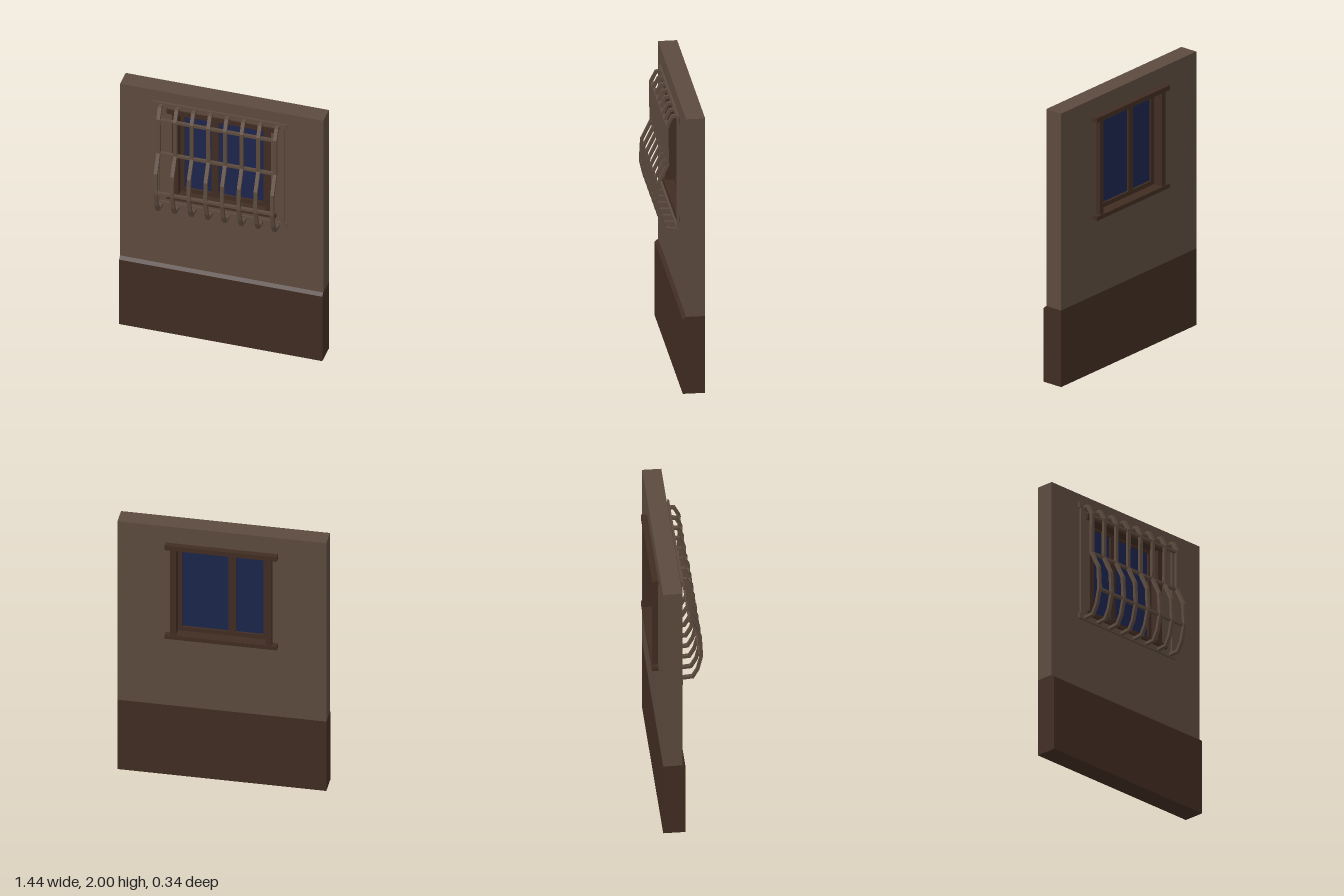
import * as THREE from 'three';

const mat = (color) => new THREE.MeshStandardMaterial({ color, flatShading: true });

export function createModel() {
  const model = new THREE.Group();
  const plaster = mat(0x5c4a3e), dark = mat(0x402c22), glass = mat(0x1c254c);

  const add = (parent, name, geometry, material) => {
    const mesh = new THREE.Mesh(geometry, material);
    mesh.name = name;
    parent.add(mesh);
    return mesh;
  };
  // Box given by its two extremes on each axis
  const box = (parent, name, material, [x0, x1], [y0, y1], [z0, z1]) =>
    add(parent, name, new THREE.BoxGeometry(x1 - x0, y1 - y0, z1 - z0), material)
      .position.set((x0 + x1) / 2, (y0 + y1) / 2, (z0 + z1) / 2);
  const group = (name) => {
    const g = new THREE.Group();
    g.name = name;
    model.add(g);
    return g;
  };
  // Side profile in (z, y), extruded along x and centred on x = 0
  const extrudeX = (points, width) =>
    new THREE.ExtrudeGeometry(new THREE.Shape(points), { depth: width, bevelEnabled: false })
      .rotateY(-Math.PI / 2).translate(width / 2, 0, 0);
  const vecs = (list) => list.map(([a, b]) => new THREE.Vector2(a, b));

  // Wall with window opening
  const wallShape = new THREE.Shape(vecs([[-0.72, 0.56], [0.72, 0.56], [0.72, 2], [-0.72, 2]]));
  wallShape.holes.push(new THREE.Path(vecs([[-0.34, 1.13], [-0.34, 1.86], [0.34, 1.86], [0.34, 1.13]])));
  add(model, 'wall', new THREE.ExtrudeGeometry(wallShape, { depth: 0.13, bevelEnabled: false })
    .translate(0, 0, -0.13), plaster);

  // Plinth with chamfered top edge
  add(model, 'plinth', extrudeX(vecs([[-0.13, 0], [0.023, 0], [0.023, 0.54], [0, 0.56], [-0.13, 0.56]]), 1.44), dark);

  // Window: casing, sash, mullion and pane
  const win = group('window');
  box(win, 'lintel', dark, [-0.387, 0.387], [1.835, 1.87], [-0.172, 0.018]);
  box(win, 'sill', dark, [-0.387, 0.387], [1.12, 1.15], [-0.172, 0.018]);
  for (const s of [-1, 1]) {
    const span = (a, b) => (s > 0 ? [a, b] : [-b, -a]);
    box(win, 'jamb', dark, span(0.31, 0.35), [1.15, 1.835], [-0.165, 0.003]);
    box(win, 'sashStile', dark, span(0.28, 0.31), [1.15, 1.835], [-0.095, -0.055]);
  }
  box(win, 'sashTopRail', dark, [-0.28, 0.28], [1.82, 1.835], [-0.095, -0.055]);
  box(win, 'sashBottomRail', dark, [-0.28, 0.28], [1.15, 1.182], [-0.095, -0.055]);
  box(win, 'mullion', dark, [-0.09, -0.04], [1.182, 1.82], [-0.095, -0.055]);
  box(win, 'pane', glass, [-0.28, 0.28], [1.182, 1.82], [-0.08, -0.07]);

  // Flat mounting frame of the grille
  const grille = group('grille');
  const flat = [0.014, 0.028];
  box(grille, 'frameTop', plaster, [-0.48, 0.467], [1.885, 1.925], flat);
  box(grille, 'frameBottom', plaster, [-0.48, 0.467], [1.06, 1.1], flat);
  box(grille, 'frameSide', plaster, [-0.466, -0.437], [1.1, 1.885], flat);
  box(grille, 'frameSide', plaster, [0.424, 0.453], [1.1, 1.885], flat);

  // Bulging bars: a centre line thickened with mitred corners
  const line = vecs([[0.02, 1.905], [0.055, 1.9], [0.09, 1.83], [0.088, 1.545], [0.152, 1.415],
    [0.16, 1.255], [0.134, 1.145], [0.1, 1.084], [0.02, 1.077]]);
  const half = 0.01, outer = [], inner = [];
  line.forEach((p, i) => {
    const a = p.clone().sub(line[Math.max(i - 1, 0)]).normalize();
    const b = line[Math.min(i + 1, line.length - 1)].clone().sub(p).normalize();
    const dir = a.clone().add(b).normalize();
    const ref = i === 0 ? b : a;
    const normal = new THREE.Vector2(-dir.y, dir.x).multiplyScalar(half / dir.dot(ref));
    outer.push(p.clone().add(normal));
    inner.unshift(p.clone().sub(normal));
  });
  const barGeometry = extrudeX([...outer, ...inner], 0.026);
  for (let i = 0; i < 8; i++) {
    add(grille, 'verticalBar', barGeometry, plaster).position.x = -0.42 + i * 0.118;
  }

  // Horizontal rails tying the bars together
  for (const [y, z] of [[1.823, 0.084], [1.545, 0.084], [1.257, 0.152]]) {
    box(grille, 'crossRail', plaster, [-0.42, 0.406], [y - 0.009, y + 0.009], [z - 0.011, z + 0.011]);
  }
  return model;
}
